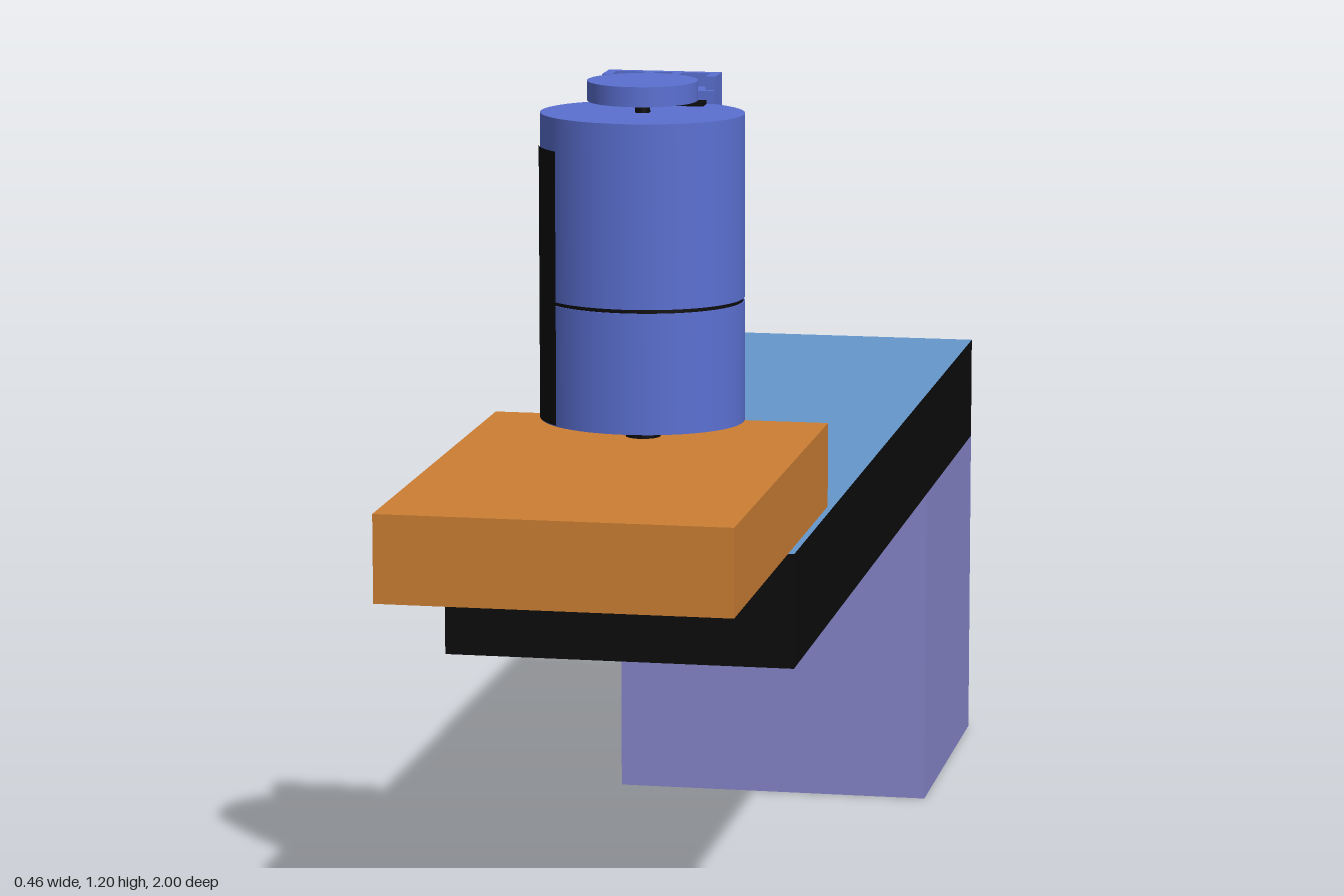
import * as THREE from 'three';

const material = (name, color) => {
  const m = new THREE.MeshStandardMaterial({ color });
  m.name = name;
  return m;
};

export function createModel() {
  const model = new THREE.Group();
  model.name = 'motorOnCantilever';
  const blue = material('arm blue', 0x6699cc);
  const orange = material('platform orange', 0xcc7f33);
  const violet = material('pillar violet', 0x8686cc);
  const indigo = material('motor indigo', 0x5b70d2);
  const black = material('black', 0x0c0c0c);

  // Box given by its minimum and maximum corners
  const box = (parent, name, min, max, mat) => {
    const size = max.map((v, i) => v - min[i]);
    const mesh = new THREE.Mesh(new THREE.BoxGeometry(...size), mat);
    mesh.position.set(...max.map((v, i) => (v + min[i]) / 2));
    mesh.name = name;
    parent.add(mesh);
  };
  // Upright cylinder between two heights
  const drum = (parent, name, r, y0, y1, mat) => {
    const mesh = new THREE.Mesh(new THREE.CylinderGeometry(r, r, y1 - y0, 64), mat);
    mesh.position.y = (y0 + y1) / 2;
    mesh.name = name;
    parent.add(mesh);
  };

  // Pillar, arm and platform (face order: +x, -x, +y, -y, +z, -z)
  box(model, 'pillar', [-0.23, 0, -1], [0.23, 0.463, -0.535], violet);
  box(model, 'arm', [-0.23, 0.463, -1], [0.23, 0.614, 0.615],
    [black, blue, blue, blue, black, blue]);
  box(model, 'platform', [-0.23, 0.614, 0.307], [0.222, 0.727, 1],
    [orange, orange, orange, black, orange, orange]);

  const motor = new THREE.Group();
  motor.name = 'motor';
  motor.position.set(-0.002, 0, 0.439);
  model.add(motor);

  // Slightly oval housing in two cans with a dark seam
  const housing = new THREE.Group();
  housing.name = 'housing';
  housing.scale.z = 0.87;
  motor.add(housing);
  drum(housing, 'lowerCan', 0.134, 0.75, 0.909, indigo);
  drum(housing, 'seam', 0.132, 0.905, 0.918, black);
  drum(housing, 'upperCan', 0.134, 0.914, 1.155, indigo);

  // Dark panel wrapped around one side of the housing
  const rad = THREE.MathUtils.degToRad;
  const panel = new THREE.Mesh(
    new THREE.CylinderGeometry(0.136, 0.136, 0.36, 24, 1, true, rad(245), rad(68)), black);
  panel.position.y = 0.932;
  panel.name = 'darkPanel';
  housing.add(panel);

  // Shaft and its collar below the housing
  drum(motor, 'shaft', 0.023, 0.722, 0.742, black);
  drum(motor, 'shaftCollar', 0.036, 0.738, 0.752, black);

  // Top cap on a thin neck
  drum(motor, 'neck', 0.01, 1.15, 1.175, black);
  drum(motor, 'cap', 0.072, 1.171, 1.197, indigo);

  // Terminal block overhanging the back rim
  const terminal = new THREE.Group();
  terminal.name = 'terminalBlock';
  model.add(terminal);
  box(terminal, 'terminalBase', [-0.077, 1.145, 0.288], [0.075, 1.172, 0.345], indigo);
  box(terminal, 'terminalWall', [-0.077, 1.17, 0.288], [0.075, 1.19, 0.3], indigo);
  for (const x of [-0.077, -0.025, 0.012, 0.062])
    box(terminal, 'terminalRib', [x, 1.17, 0.298], [x + 0.013, 1.19, 0.335], indigo);
  box(terminal, 'terminalFoot', [-0.065, 1.11, 0.316], [0.06, 1.146, 0.335], black);
  box(terminal, 'terminalPad', [-0.068, 1.154, 0.343], [0.065, 1.16, 0.372], black);

  return model;
}
